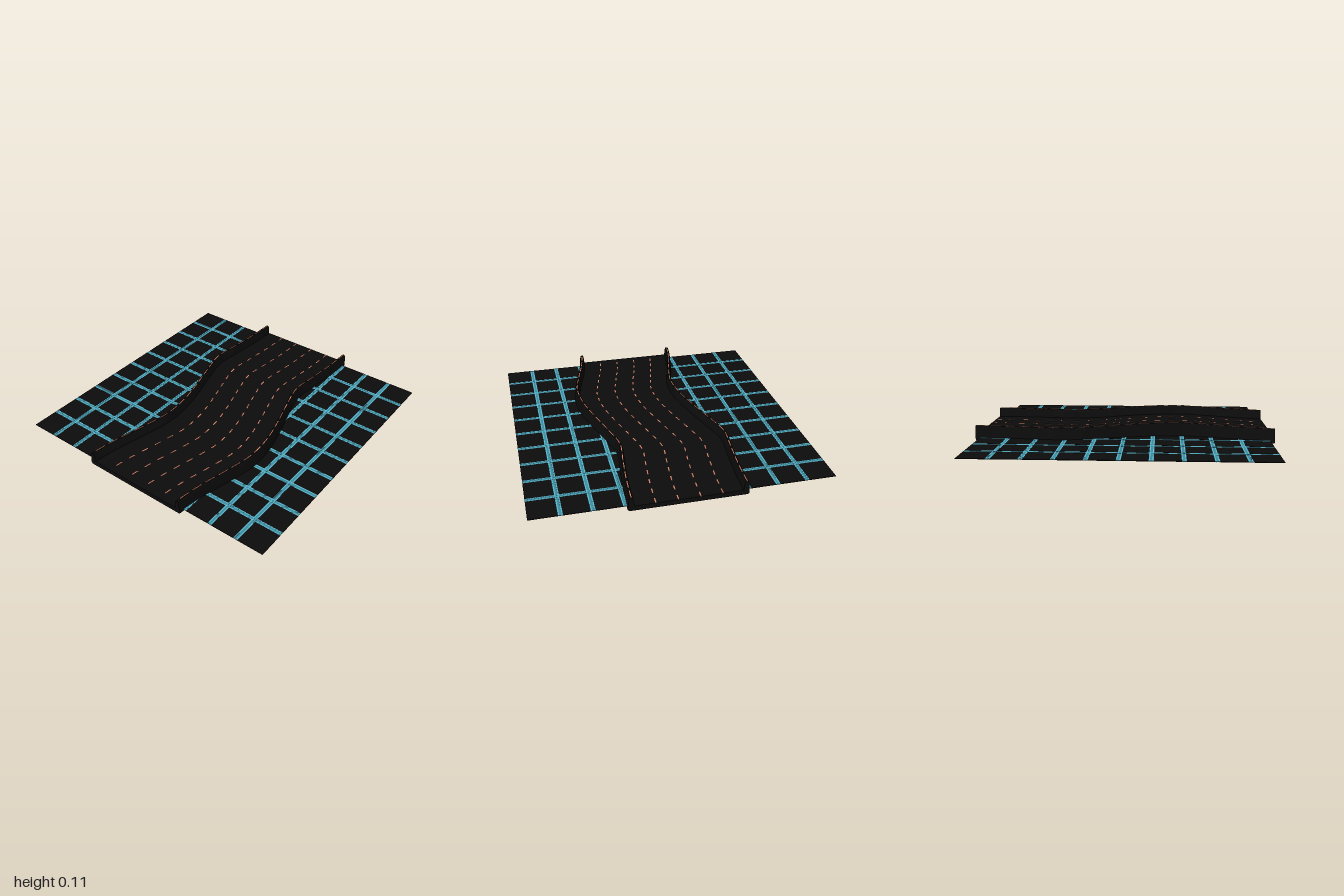
import * as THREE from 'three';
import { toCreasedNormals } from 'three/addons/utils/BufferGeometryUtils.js';

const BLACK = new THREE.MeshStandardMaterial({ color: 0x0c0c0c });
const TEAL = new THREE.MeshStandardMaterial({ color: 0x3f8ea3 });
const BRIGHT_TEAL = new THREE.MeshStandardMaterial({ color: 0x5fc0d4 });
const ORANGE = new THREE.MeshStandardMaterial({ color: 0xd98468 });

// Sideways position of the road centre, evenly spaced from z = -1 to z = 1
const BENDS = [0, -0.01, -0.03, -0.048, 0, 0.06, 0.108, 0.12, 0.08, 0.03, -0.002];
const path = new THREE.SplineCurve(BENDS.map((x, i) => new THREE.Vector2(x, -1 + i * 0.2)));
const centreX = (z) => path.getPoint(THREE.MathUtils.clamp((z + 1) / 2, 0, 1)).x;

// Sweep a convex, counter-clockwise profile [x, y] along the winding road
function sweep(profile, z0, z1, steps) {
  const positions = [];
  const index = [];
  const n = profile.length;
  for (let i = 0; i <= steps; i++) {
    const z = z0 + ((z1 - z0) * i) / steps;
    const cx = centreX(z);
    const lift = 0.08 * Math.max(0, cx);
    for (const [x, y] of profile) positions.push(x + cx, y + lift, z);
  }
  for (let i = 0; i < steps; i++) {
    for (let j = 0; j < n; j++) {
      const a = i * n + j;
      const b = i * n + ((j + 1) % n);
      index.push(a, b, b + n, a, b + n, a + n);
    }
  }
  const end = steps * n;
  for (let j = 1; j < n - 1; j++) {
    index.push(0, j + 1, j);
    index.push(end, end + j, end + j + 1);
  }
  const geometry = new THREE.BufferGeometry();
  geometry.setAttribute('position', new THREE.Float32BufferAttribute(positions, 3));
  geometry.setIndex(index);
  return toCreasedNormals(geometry, 0.5);
}

function add(parent, name, geometry, material, x = 0, y = 0, z = 0) {
  const mesh = new THREE.Mesh(geometry, material);
  mesh.name = name;
  mesh.position.set(x, y, z);
  parent.add(mesh);
  return mesh;
}

const rect = (cx, w, y0, y1) => [
  [cx - w / 2, y0], [cx + w / 2, y0], [cx + w / 2, y1], [cx - w / 2, y1],
];

// Row of dashes that follows the road
function dashedLine(parent, name, x, y, width, length) {
  const line = new THREE.Group();
  line.name = name;
  const count = 20;
  for (let i = 0; i < count; i++) {
    const z = -1 + (i * 2) / count;
    add(line, 'dash', sweep(rect(x, width, y, y + 0.003), z, z + length, 3), ORANGE);
  }
  parent.add(line);
}

// Flat floor of separate tiles with glowing strips between them
function buildFloor() {
  const floor = new THREE.Group();
  floor.name = 'gridFloor';
  const half = 0.97;
  const cells = 10;
  const pitch = (half * 2) / cells;
  const strip = 0.03;
  const y = 0.017;

  for (let i = 0; i < cells; i++) {
    const x0 = -half + i * pitch + (i > 0 ? strip / 2 : 0);
    const x1 = -half + (i + 1) * pitch - (i < cells - 1 ? strip / 2 : 0);
    for (let j = 0; j < cells; j++) {
      const z0 = -half + j * pitch + (j > 0 ? strip / 2 : 0);
      const z1 = -half + (j + 1) * pitch - (j < cells - 1 ? strip / 2 : 0);
      const tile = new THREE.BoxGeometry(x1 - x0, 0.004, z1 - z0);
      add(floor, 'floorTile', tile, BLACK, (x0 + x1) / 2, y, (z0 + z1) / 2);
    }
  }

  const across = new THREE.BoxGeometry(half * 2, 0.003, strip);
  const along = new THREE.BoxGeometry(strip, 0.0026, half * 2);
  const thinAcross = new THREE.BoxGeometry(half * 2, 0.004, 0.005);
  const thinAlong = new THREE.BoxGeometry(0.005, 0.0044, half * 2);
  for (let i = 1; i < cells; i++) {
    const p = -half + i * pitch;
    add(floor, 'crossStrip', across, TEAL, 0, y, p);
    add(floor, 'longStrip', along, TEAL, p, y, 0);
    for (const s of [-1, 1]) {
      add(floor, 'crossGlowLine', thinAcross, BRIGHT_TEAL, 0, y, p + s * 0.01);
      add(floor, 'longGlowLine', thinAlong, BRIGHT_TEAL, p + s * 0.01, y, 0);
    }
  }
  return floor;
}

// Winding road with tapered side walls and dashed markings
function buildRoad() {
  const road = new THREE.Group();
  road.name = 'windingRoad';
  add(road, 'roadSlab', sweep(rect(0, 0.75, 0, 0.033), -1, 1, 80), BLACK);

  const wall = [[0.338, 0.005], [0.381, 0.005], [0.373, 0.09], [0.368, 0.097], [0.353, 0.097], [0.348, 0.09]];
  const mirrored = wall.map(([x, y]) => [-x, y]).reverse();
  add(road, 'leftWall', sweep(wall, -1, 1, 80), BLACK);
  add(road, 'rightWall', sweep(mirrored, -1, 1, 80), BLACK);

  for (const x of [-0.21, -0.07, 0.07, 0.21]) dashedLine(road, 'laneMarking', x, 0.032, 0.008, 0.045);
  for (const s of [-1, 1]) dashedLine(road, 'wallMarking', s * 0.36, 0.0965, 0.006, 0.07);
  return road;
}

export function createModel() {
  const model = new THREE.Group();
  model.name = 'roadOnGrid';
  model.add(buildFloor(), buildRoad());
  return model;
}
